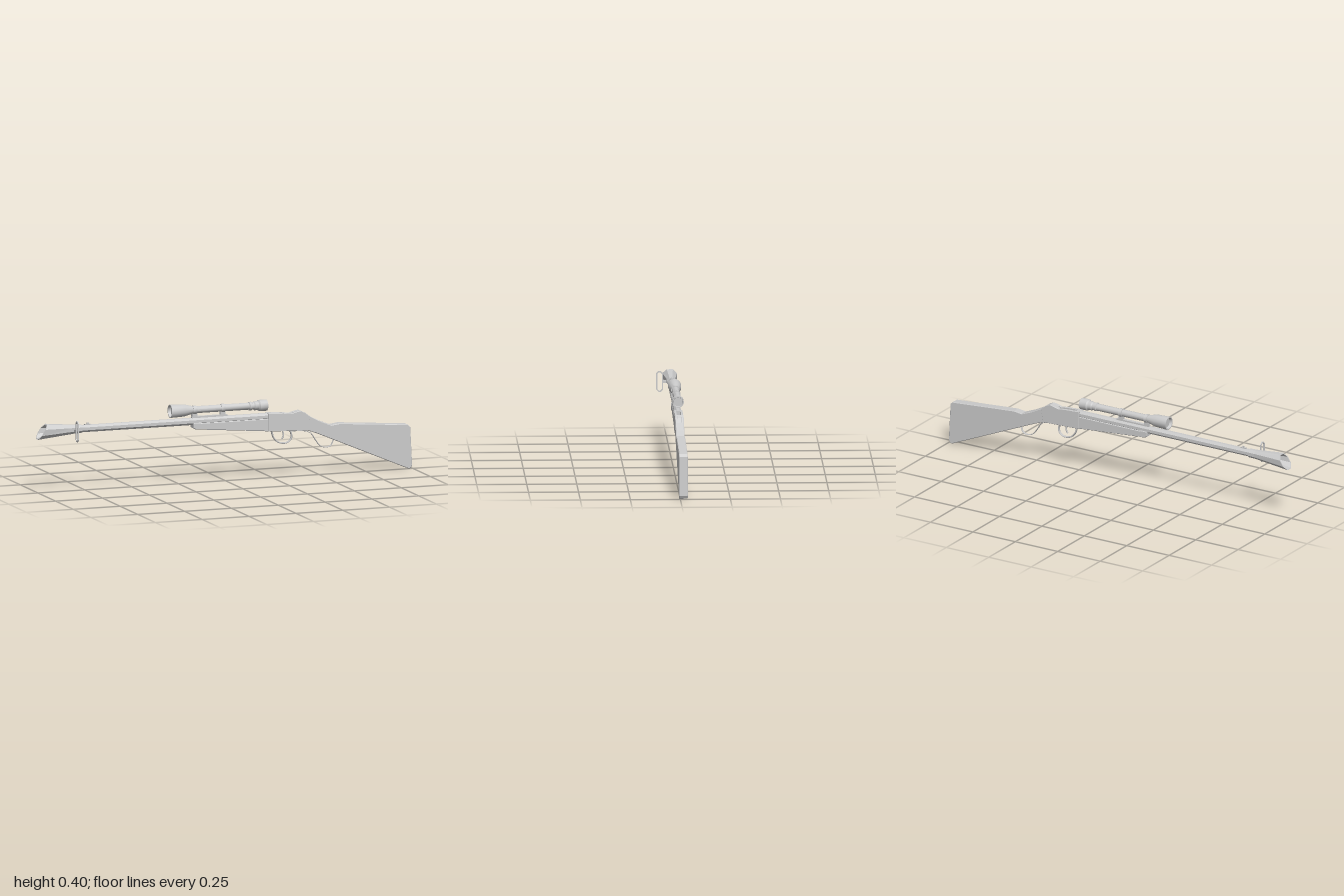
import * as THREE from 'three';
import { toCreasedNormals } from 'three/addons/utils/BufferGeometryUtils.js';

const Z = -0.016; // centre plane of the gun
const flat = new THREE.MeshStandardMaterial({ color: 0xcccccc, flatShading: true, side: THREE.DoubleSide });
const smooth = new THREE.MeshStandardMaterial({ color: 0xcccccc, side: THREE.DoubleSide });

export function createModel() {
  const model = new THREE.Group();

  const add = (name, geometry, material = flat) => {
    const mesh = new THREE.Mesh(geometry, material);
    mesh.name = name;
    model.add(mesh);
    return mesh;
  };

  // Side profile in x/y extruded across z, with a small chamfer
  const slab = (name, points, width, z = Z, bevel = 0.003) => {
    const shape = new THREE.Shape(points.map(p => new THREE.Vector2(...p)));
    const geo = new THREE.ExtrudeGeometry(shape, {
      depth: width - 2 * bevel, bevelEnabled: bevel > 0, bevelSegments: 1,
      bevelSize: bevel, bevelThickness: bevel, bevelOffset: -bevel,
    });
    geo.translate(0, 0, z - width / 2 + bevel);
    return add(name, geo);
  };

  // Turned part along x: points are [x, radius], from high x to low x
  const turned = (points, sides, y) => {
    const geo = new THREE.LatheGeometry(points.map(([x, r]) => new THREE.Vector2(r, -x)), sides, Math.PI / sides);
    return geo.rotateZ(Math.PI / 2).translate(0, y, Z);
  };

  const box = (name, w, h, d, x, y, z = Z) =>
    add(name, new THREE.BoxGeometry(w, h, d).translate(x, y, z));

  // Flat strap following a curve in x/y
  const strap = (name, points, closed, thickness, width) => {
    const curve = new THREE.CatmullRomCurve3(points.map(([x, y]) => new THREE.Vector3(x, y, 0)), closed);
    const geo = new THREE.TubeGeometry(curve, 28, thickness, 6, closed);
    geo.scale(1, 1, width / (2 * thickness)).translate(0, 0, Z);
    return add(name, geo, smooth);
  };

  // Butt stock and wrist
  slab('buttStock', [
    [0.45, 0.302], [0.435, 0.232], [0.49, 0.212], [0.978, 0.003], [0.988, 0.006], [0.996, 0.02],
    [0.986, 0.215], [0.972, 0.228], [0.61, 0.256], [0.565, 0.25], [0.51, 0.272],
  ], 0.043);

  // Receiver: two cheeks around a lower core that leaves the loading trough open
  const cheek = [
    [0.228, 0.238], [0.44, 0.231], [0.453, 0.30], [0.425, 0.322],
    [0.4, 0.333], [0.375, 0.328], [0.35, 0.321], [0.31, 0.326], [0.228, 0.33],
  ];
  for (const s of [-1, 1]) slab('receiverCheek', cheek, 0.012, Z + s * 0.0155, 0.002);
  slab('receiverCore', [
    [0.228, 0.24], [0.438, 0.233], [0.451, 0.30], [0.425, 0.321], [0.4, 0.332],
    [0.37, 0.326], [0.35, 0.305], [0.25, 0.300], [0.25, 0.329], [0.228, 0.329],
  ], 0.022, Z, 0);

  // Fore-end with its nose cap
  slab('foreEnd', [[-0.15, 0.272], [0.23, 0.239], [0.23, 0.303], [-0.15, 0.303]], 0.04);
  slab('noseCap', [[-0.172, 0.28], [-0.16, 0.273], [-0.13, 0.27], [-0.13, 0.306], [-0.172, 0.306]], 0.043);

  // Octagonal barrel
  add('barrel', turned([[0.24, 0], [0.24, 0.019], [-0.79, 0.019]], 8, 0.312));

  // Flared hollow muzzle, its mouth sheared so the lower lip reaches furthest
  const muzzle = turned([
    [-0.765, 0.018], [-0.765, 0.0225], [-0.805, 0.0235], [-0.975, 0.04],
    [-0.975, 0.035], [-0.83, 0.016], [-0.8, 0.014], [-0.8, 0],
  ], 8, 0.312);
  const pos = muzzle.attributes.position;
  for (let i = 0; i < pos.count; i++) {
    const t = THREE.MathUtils.clamp((-0.82 - pos.getX(i)) / 0.155, 0, 1);
    pos.setX(i, pos.getX(i) + 0.66 * t * (pos.getY(i) - 0.312));
    pos.setY(i, pos.getY(i) - 0.003 * t);
  }
  add('muzzle', muzzle);

  // Front sight
  box('frontSightBase', 0.03, 0.006, 0.01, -0.73, 0.331);
  box('frontSightBlade', 0.01, 0.01, 0.004, -0.728, 0.336);

  // Sling loop on the side of the muzzle
  const loopShape = (hw, hh, c) => [
    [-hw, -hh + c], [-hw + c, -hh], [hw - c, -hh], [hw, -hh + c],
    [hw, hh - c], [hw - c, hh], [-hw + c, hh], [-hw, hh - c],
  ].map(p => new THREE.Vector2(...p));
  const loop = new THREE.Shape(loopShape(0.0175, 0.053, 0.012));
  loop.holes.push(new THREE.Path(loopShape(0.0115, 0.047, 0.009).reverse()));
  const loopGeo = new THREE.ExtrudeGeometry(loop, { depth: 0.006, bevelEnabled: false });
  add('slingLoop', loopGeo.translate(0, 0, -0.003).rotateY(Math.PI / 2).translate(-0.805, 0.308, 0.0395));
  box('slingLug', 0.01, 0.012, 0.022, -0.805, 0.308, 0.014);

  // Trigger, guard and finger lever
  strap('triggerGuard', [
    [0.252, 0.238], [0.262, 0.205], [0.282, 0.182], [0.31, 0.172],
    [0.34, 0.176], [0.357, 0.195], [0.356, 0.222], [0.345, 0.238],
  ], false, 0.004, 0.018);
  strap('trigger', [[0.31, 0.238], [0.316, 0.215], [0.308, 0.192]], false, 0.004, 0.008);
  strap('fingerLever', [
    [0.35, 0.23], [0.42, 0.228], [0.46, 0.215], [0.485, 0.18], [0.51, 0.148],
    [0.54, 0.137], [0.568, 0.144], [0.582, 0.172],
  ], false, 0.0025, 0.014);

  // Telescopic sight
  const scope = turned([
    [0.216, 0], [0.216, 0.023], [0.225, 0.025], [0.225, 0.029], [0.185, 0.029], [0.178, 0.023],
    [0.16, 0.023], [0.155, 0.019], [0.145, 0.019], [0.143, 0.022], [0.132, 0.022], [0.13, 0.018],
    [-0.165, 0.018], [-0.215, 0.031], [-0.29, 0.034], [-0.29, 0.029], [-0.275, 0.027], [-0.275, 0],
  ], 14, 0.37);
  add('scope', toCreasedNormals(scope, 0.5), smooth);

  // Scope rail, mounts and clamp rings
  box('scopeRail', 0.19, 0.008, 0.018, -0.08, 0.333);
  for (const x of [-0.16, -0.01]) {
    box('scopeMount', 0.026, 0.024, 0.018, x, 0.343);
    const ring = turned([[x + 0.009, 0.017], [x + 0.009, 0.0215], [x - 0.009, 0.0215], [x - 0.009, 0.017]], 14, 0.37);
    add('scopeRing', toCreasedNormals(ring, 0.5), smooth);
  }

  return model;
}
